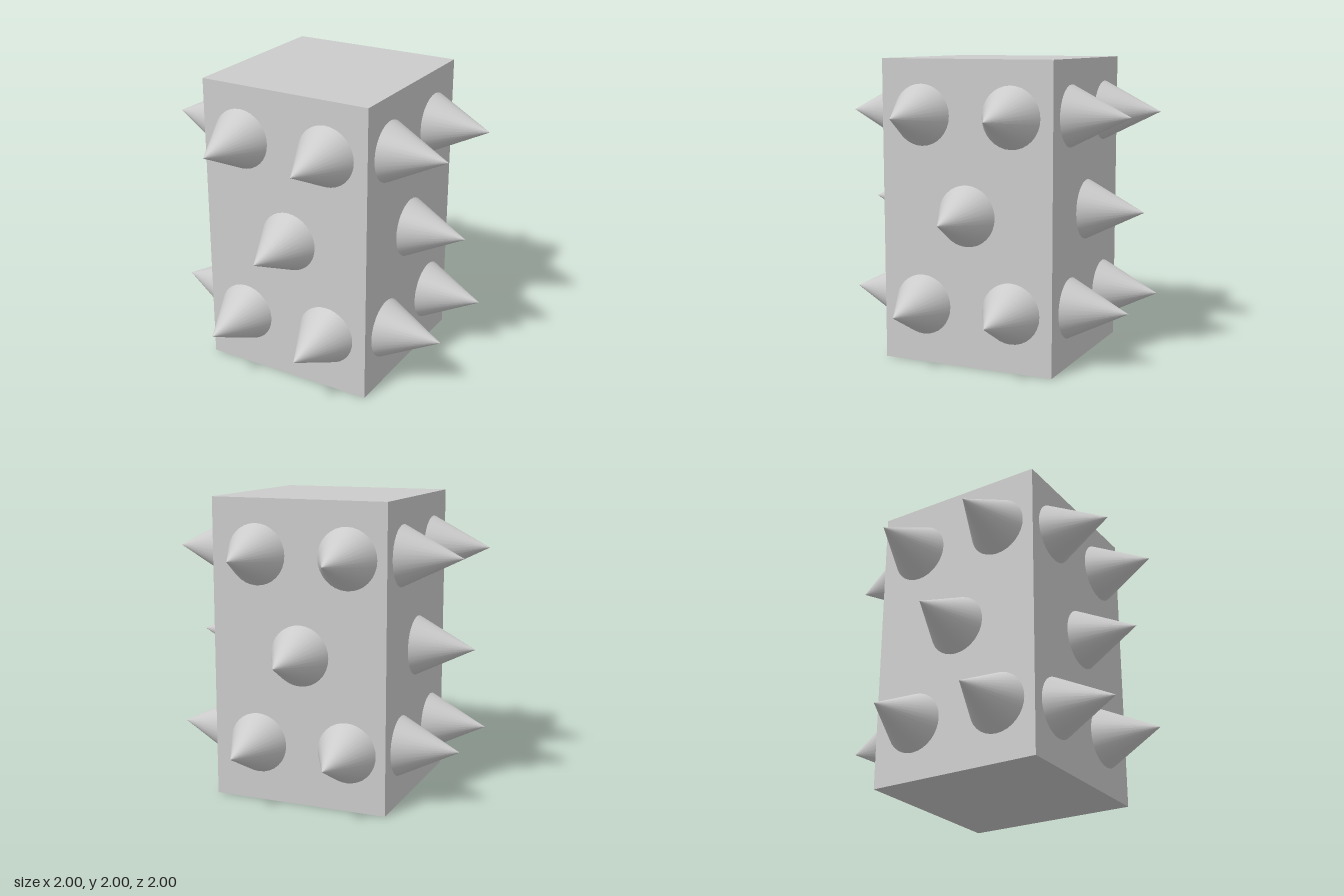
import * as THREE from 'three';

const HALF_WIDTH = 0.6, HEIGHT = 2;
const SPIKE_RADIUS = 0.2, SPIKE_LENGTH = 0.4;
const ROWS = { top: 1.64, middle: 1, bottom: 0.39 };

// Each wall: turn about y, and the sideways offsets of its three spike columns
const WALLS = [
  { name: 'front', turn: 0, columns: [-0.32, 0.025, 0.305] },
  { name: 'left', turn: Math.PI / 2, columns: [-0.315, 0.005, 0.315] },
  { name: 'back', turn: Math.PI, columns: [-0.29, 0.01, 0.335] },
  { name: 'right', turn: -Math.PI / 2, columns: [-0.305, 0.015, 0.325] },
];

export function createModel() {
  const model = new THREE.Group();
  model.name = 'spikedBlock';
  const material = new THREE.MeshStandardMaterial({ color: 0xcccccc });

  // Block
  const block = new THREE.Mesh(
    new THREE.BoxGeometry(2 * HALF_WIDTH, HEIGHT, 2 * HALF_WIDTH), material);
  block.name = 'block';
  block.position.y = HEIGHT / 2;
  model.add(block);

  // Spike pointing along +z, its base at z = 0
  const spikeGeometry = new THREE.ConeGeometry(SPIKE_RADIUS, SPIKE_LENGTH, 32)
    .rotateX(Math.PI / 2)
    .translate(0, 0, SPIKE_LENGTH / 2);

  // Five spikes on every wall, arranged like the five on a die
  for (const { name, turn, columns: [a, mid, b] } of WALLS) {
    const wall = new THREE.Group();
    wall.name = `${name}Spikes`;
    wall.rotation.y = turn;
    const spots = [
      [a, ROWS.top], [b, ROWS.top], [mid, ROWS.middle], [a, ROWS.bottom], [b, ROWS.bottom],
    ];
    for (const [x, y] of spots) {
      const spike = new THREE.Mesh(spikeGeometry, material);
      spike.name = 'spike';
      spike.position.set(x, y, HALF_WIDTH);
      wall.add(spike);
    }
    model.add(wall);
  }
  return model;
}
